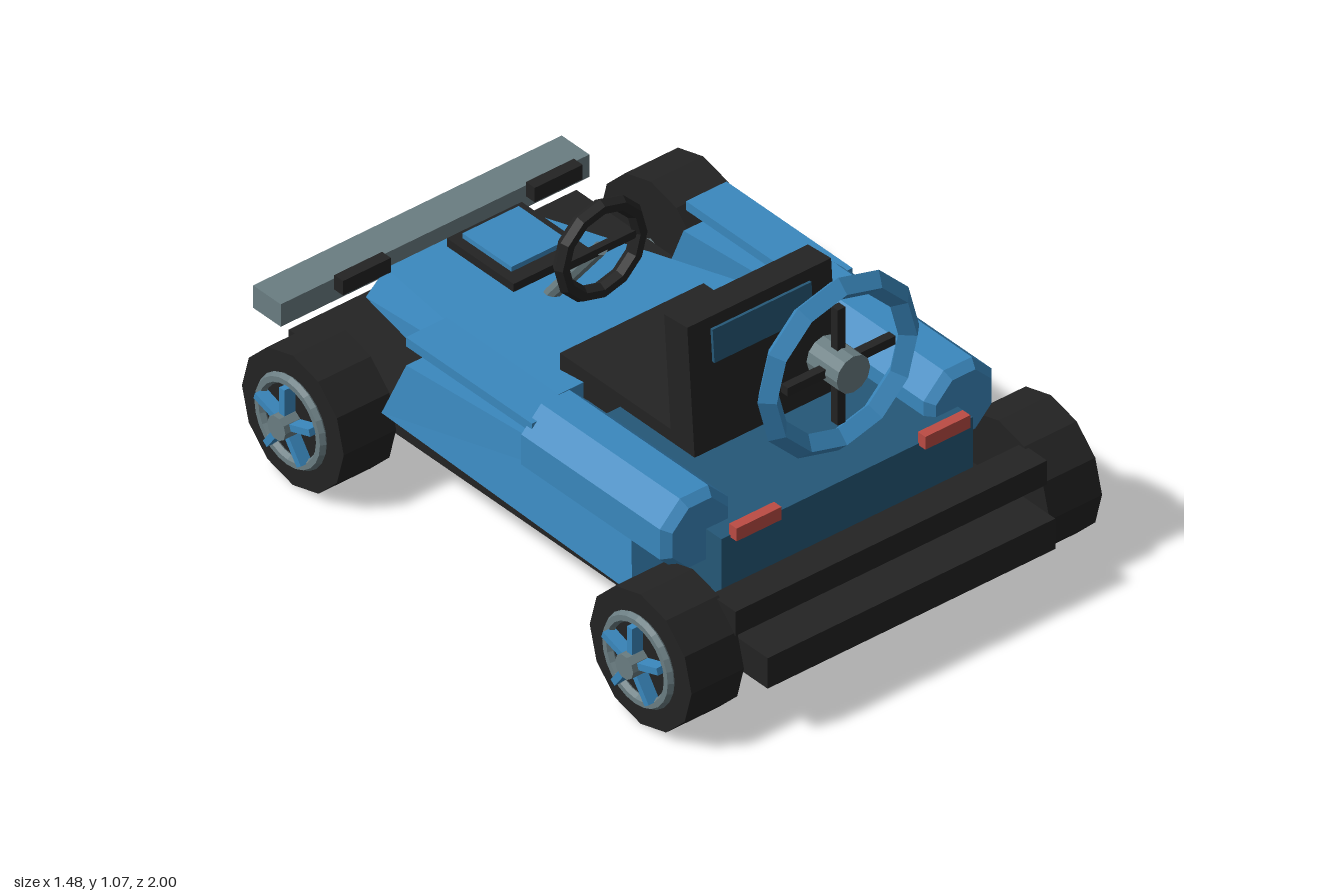
import * as THREE from 'three';

const mat = (name, color) => {
  const m = new THREE.MeshStandardMaterial({ color });
  m.name = name;
  m.flatShading = true;
  return m;
};

export function createModel() {
  const kart = new THREE.Group();
  kart.name = 'goKart';
  const black = mat('black', 0x232323);
  const blue = mat('blue', 0x3a88be);
  const darkBlue = mat('darkBlue', 0x255878);
  const grey = mat('grey', 0x6a7d82);
  const red = mat('red', 0xbc4c44);

  const add = (name, geo, material, parent = kart) => {
    const mesh = new THREE.Mesh(geo, material);
    mesh.name = name;
    parent.add(mesh);
    return mesh;
  };
  // box given by its limits on each axis
  const box = (name, x0, x1, y0, y1, z0, z1, material, parent) => {
    const mesh = add(name, new THREE.BoxGeometry(x1 - x0, y1 - y0, z1 - z0), material, parent);
    mesh.position.set((x0 + x1) / 2, (y0 + y1) / 2, (z0 + z1) / 2);
    return mesh;
  };
  // box whose eight corners are placed by a rule
  const wedge = (rule) => {
    const geo = new THREE.BoxGeometry(1, 1, 1);
    const p = geo.attributes.position;
    for (let i = 0; i < p.count; i++) {
      p.setXYZ(i, ...rule(p.getX(i) > 0, p.getY(i) > 0, p.getZ(i) > 0));
    }
    geo.computeVertexNormals();
    return geo;
  };
  // cylinder lying along x
  const axle = (name, r, x0, x1, sides, material, parent) => {
    const geo = new THREE.CylinderGeometry(r, r, x1 - x0, sides).rotateZ(Math.PI / 2);
    const mesh = add(name, geo, material, parent);
    mesh.position.x = (x0 + x1) / 2;
    return mesh;
  };

  // chassis and bumpers
  box('chassis', -0.48, 0.48, 0.16, 0.255, -0.9, 1, black);
  box('rearBumper', -0.52, 0.52, 0.3, 0.375, 0.82, 0.92, black);
  box('frontBumper', -0.515, 0.515, 0.285, 0.355, -1, -0.89, grey);

  // body
  box('rearBody', -0.42, 0.42, 0.27, 0.462, 0.13, 0.745, darkBlue);
  add('nose', wedge((right, top, back) => {
    const half = back ? (top ? 0.385 : 0.4) : (top ? 0.21 : 0.24);
    const y = top ? (back ? 0.46 : 0.36) : 0.258;
    const z = back ? -0.015 : (top ? -0.835 : -0.88);
    return [right ? half : -half, y, z];
  }), blue);

  // seat, with a pad set through the leaning backrest
  box('seatBase', -0.24, 0.24, 0.26, 0.5, -0.11, 0.34, black);
  const backrest = new THREE.Group();
  backrest.name = 'backrest';
  backrest.position.set(0, 0.45, 0.38);
  backrest.rotation.x = -0.075;
  kart.add(backrest);
  box('backrestShell', -0.24, 0.24, 0, 0.4, -0.046, 0.046, black, backrest);
  box('backrestPad', -0.165, 0.165, 0.265, 0.365, -0.055, 0.055, darkBlue, backrest);

  // steering wheel and column
  const steering = new THREE.Group();
  steering.name = 'steeringWheel';
  steering.position.set(0, 0.65, -0.235);
  kart.add(steering);
  add('steeringRim', new THREE.TorusGeometry(0.13, 0.023, 6, 12), black, steering);
  box('steeringSpoke', -0.125, 0.125, -0.012, 0.012, -0.01, 0.01, black, steering);
  const column = add('steeringColumn', new THREE.CylinderGeometry(0.02, 0.02, 0.36, 8), grey);
  column.position.set(0, 0.51, -0.345);
  column.rotation.x = Math.atan2(0.22, 0.28);

  // raised panel over the nose
  box('nosePanel', -0.125, 0.125, 0.465, 0.49, -0.695, -0.43, black);
  box('nosePanelInset', -0.094, 0.094, 0.488, 0.505, -0.67, -0.475, blue);

  // spare hoop standing at the rear
  const hoop = new THREE.Group();
  hoop.name = 'rearHoop';
  hoop.position.set(0, 0.8, 0.71);
  kart.add(hoop);
  add('hoopRim', new THREE.TorusGeometry(0.235, 0.035, 4, 12), blue, hoop);
  box('hoopSpokeUpright', -0.013, 0.013, -0.18, 0.18, -0.013, 0.013, black, hoop);
  box('hoopSpokeLevel', -0.18, 0.18, -0.013, 0.013, -0.013, 0.013, black, hoop);
  add('hoopHub', new THREE.CylinderGeometry(0.056, 0.056, 0.12, 12).rotateX(Math.PI / 2), grey, hoop);

  for (const s of [-1, 1]) {
    const side = s > 0 ? 'left' : 'right';
    const sx = (a, b) => (s > 0 ? [a, b] : [-b, -a]);

    // side pod: wide foot, narrower sloping top
    add(side + 'SidePod', wedge((right, top, back) => {
      const outer = (s > 0) === right;
      const x = outer ? (top ? 0.525 : (back ? 0.57 : 0.545)) : 0.4;
      const y = top ? (back ? 0.515 : 0.445) : 0.265;
      const z = back ? (top ? 0.51 : 0.57) : (top ? -0.38 : -0.455);
      return [s * x, y, z];
    }), blue);
    box(side + 'PodRail', ...sx(0.4, 0.535), 0.515, 0.543, -0.37, 0.13, blue);

    // round tank with a stepped-in rear end
    const tank = new THREE.Group();
    tank.name = side + 'Tank';
    tank.position.set(s * 0.44, 0.46, 0);
    kart.add(tank);
    const drum = (name, r0, r1, z0, z1) => {
      const geo = new THREE.CylinderGeometry(r1, r0, z1 - z0, 8).rotateY(Math.PI / 8).rotateX(Math.PI / 2);
      add(name, geo, blue, tank).position.z = (z0 + z1) / 2;
    };
    drum('tankBody', 0.123, 0.123, 0.11, 0.66);
    drum('tankEnd', 0.123, 0.1, 0.66, 0.685);

    box(side + 'RearLight', ...sx(0.24, 0.39), 0.455, 0.495, 0.74, 0.77, red);
    box(side + 'NoseBlock', ...sx(0.24, 0.4), 0.39, 0.435, -0.815, -0.78, black);

    // wheels
    for (const [end, z] of [['Rear', 0.74], ['Front', -0.64]]) {
      const wheel = new THREE.Group();
      wheel.name = side + end + 'Wheel';
      wheel.position.set(0, 0.205, z);
      wheel.rotation.y = s > 0 ? 0 : Math.PI;
      kart.add(wheel);
      axle('axle', 0.024, 0.4, 0.52, 8, grey, wheel);
      axle('tyre', 0.202, 0.51, 0.685, 12, black, wheel);
      const rim = add('rim', new THREE.TorusGeometry(0.122, 0.016, 6, 24).rotateY(Math.PI / 2), grey, wheel);
      rim.position.x = 0.69;
      axle('hub', 0.036, 0.68, 0.74, 10, grey, wheel);
      for (let i = 0; i < 5; i++) {
        const spoke = new THREE.Group();
        spoke.name = 'spoke';
        spoke.rotation.x = (i * Math.PI * 2) / 5;
        wheel.add(spoke);
        box('spokeBar', 0.684, 0.722, 0.02, 0.115, -0.01, 0.01, blue, spoke);
      }
    }
  }
  return kart;
}
